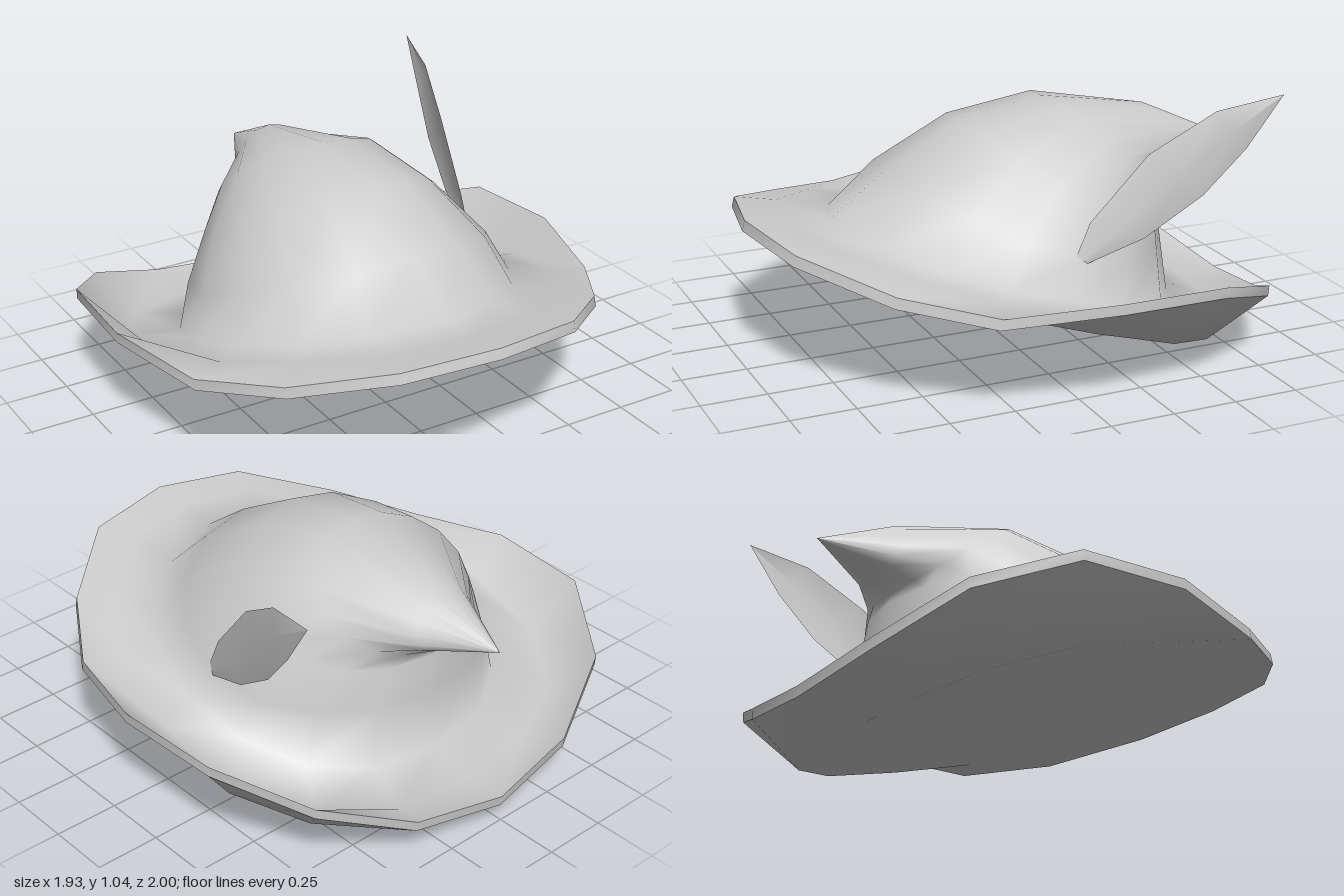
import * as THREE from 'three';

const SIDES = 16;

// Skin through a list of loops, each with SIDES points
function skin(loops) {
  const index = [];
  for (let j = 0; j < loops.length - 1; j++) {
    for (let i = 0; i < SIDES; i++) {
      const k = (i + 1) % SIDES;
      const a = j * SIDES + i, b = j * SIDES + k;
      const c = b + SIDES, d = a + SIDES;
      index.push(a, b, c, a, c, d);
    }
  }
  const geometry = new THREE.BufferGeometry();
  geometry.setAttribute('position', new THREE.Float32BufferAttribute(loops.flat(2), 3));
  geometry.setIndex(index);
  geometry.computeVertexNormals();
  return geometry;
}

// Tilted oval loop given by its half width and its front, side and back heights
function oval(w, zFront, zBack, yFront, ySide, yBack) {
  const mid = (yFront + yBack) / 2;
  return Array.from({ length: SIDES }, (_, i) => {
    const t = (i / SIDES) * Math.PI * 2, c = Math.cos(t);
    return [
      w * Math.sin(t),
      (mid + ySide) / 2 + ((yFront - yBack) / 2) * c + ((mid - ySide) / 2) * Math.cos(2 * t),
      (zFront + zBack) / 2 + ((zFront - zBack) / 2) * c,
    ];
  });
}

const point = (x, y, z) => Array.from({ length: SIDES }, () => [x, y, z]);

// Full loop from its left half, listed front to back
const mirrored = (half) => [...half, ...half.slice(1, -1).reverse().map(([x, y, z]) => [-x, y, z])];

export function createModel() {
  const hat = new THREE.Group();
  hat.name = 'featheredHat';
  const felt = new THREE.MeshStandardMaterial({ color: 0xcccccc });
  felt.name = 'pale grey felt';
  const plume = new THREE.MeshStandardMaterial({ color: 0xcccccc, side: THREE.DoubleSide });
  plume.name = 'pale grey feather';

  const add = (name, geometry, material) => {
    const mesh = new THREE.Mesh(geometry, material);
    mesh.name = name;
    hat.add(mesh);
  };

  // Upper rim of the brim
  const rimTop = mirrored([
    [0, 0.582, 0.985], [0.365, 0.555, 0.915], [0.665, 0.462, 0.655],
    [0.86, 0.403, 0.347], [0.965, 0.43, -0.06], [0.935, 0.415, -0.49],
    [0.72, 0.3, -0.8], [0.38, 0.16, -0.955], [0, 0.105, -1],
  ]);
  const rimBottom = rimTop.map(([x, y, z]) => [x, y - 0.04, z > 0 ? z + 0.01 : z * 0.995]);

  // Sloping, nearly flat underside
  const under = rimTop.map(([x, , z]) => {
    const u = x * 0.815, v = z * 0.775;
    return [u, 0.25 + 0.29 * v - 0.04 * v * v + 0.035 * u * u, v];
  });
  add('brimUnderside', skin([point(0, 0.25, 0), under, rimBottom]), felt);

  // Thin outer edge
  add('brimEdge', skin([rimBottom, rimTop]), felt);

  // Sloping floor of the brim, inside its upturned border
  const brimFloor = rimTop.map(([x, , z]) => [x * 0.84, 0.325 + 0.28 * z * 0.84, z * 0.84]);

  // Foot of the crown, sunk low at the back
  const crownFoot = mirrored([
    [0, 0.54, 0.66], [0.27, 0.505, 0.57], [0.47, 0.45, 0.4],
    [0.6, 0.395, 0.2], [0.655, 0.335, -0.04], [0.62, 0.265, -0.25],
    [0.48, 0.193, -0.48], [0.27, 0.155, -0.62], [0, 0.14, -0.65],
  ]);

  // Brim top flowing into the crown, which bends back to a point
  add('crownAndBrim', skin([
    rimTop,
    brimFloor,
    crownFoot,
    oval(0.595, 0.44, -0.645, 0.7, 0.465, 0.39),
    oval(0.465, 0.145, -0.63, 0.865, 0.63, 0.54),
    oval(0.335, -0.2, -0.63, 0.92, 0.745, 0.57),
    oval(0.14, -0.64, -0.71, 0.845, 0.7, 0.61),
    point(0, 0.7, -0.95),
  ]), felt);

  // Feather: thin leaf, slightly folded along its rib
  const upper = [[0.585, 0.465, -0.06], [0.585, 0.6, -0.12], [0.625, 0.84, -0.33], [0.695, 0.99, -0.56], [0.755, 1.04, -0.8]];
  const lower = [[0.6, 0.45, -0.1], [0.64, 0.53, -0.31], [0.69, 0.68, -0.52], [0.73, 0.85, -0.67], [0.755, 1.04, -0.8]];
  const rib = upper.map((u, i) => u.map((v, k) => (v + lower[i][k]) / 2 + (k === 0 && i > 0 && i < 4 ? 0.02 : 0)));
  const feather = new THREE.BufferGeometry();
  feather.setAttribute('position', new THREE.Float32BufferAttribute([upper, rib, lower].flat(2), 3));
  const faces = [];
  for (const row of [0, 5]) {
    for (let i = row; i < row + 4; i++) {
      faces.push(i, i + 1, i + 5);
      if (i < row + 3) faces.push(i + 1, i + 6, i + 5);
    }
  }
  feather.setIndex(faces);
  feather.computeVertexNormals();
  add('feather', feather, plume);

  return hat;
}
